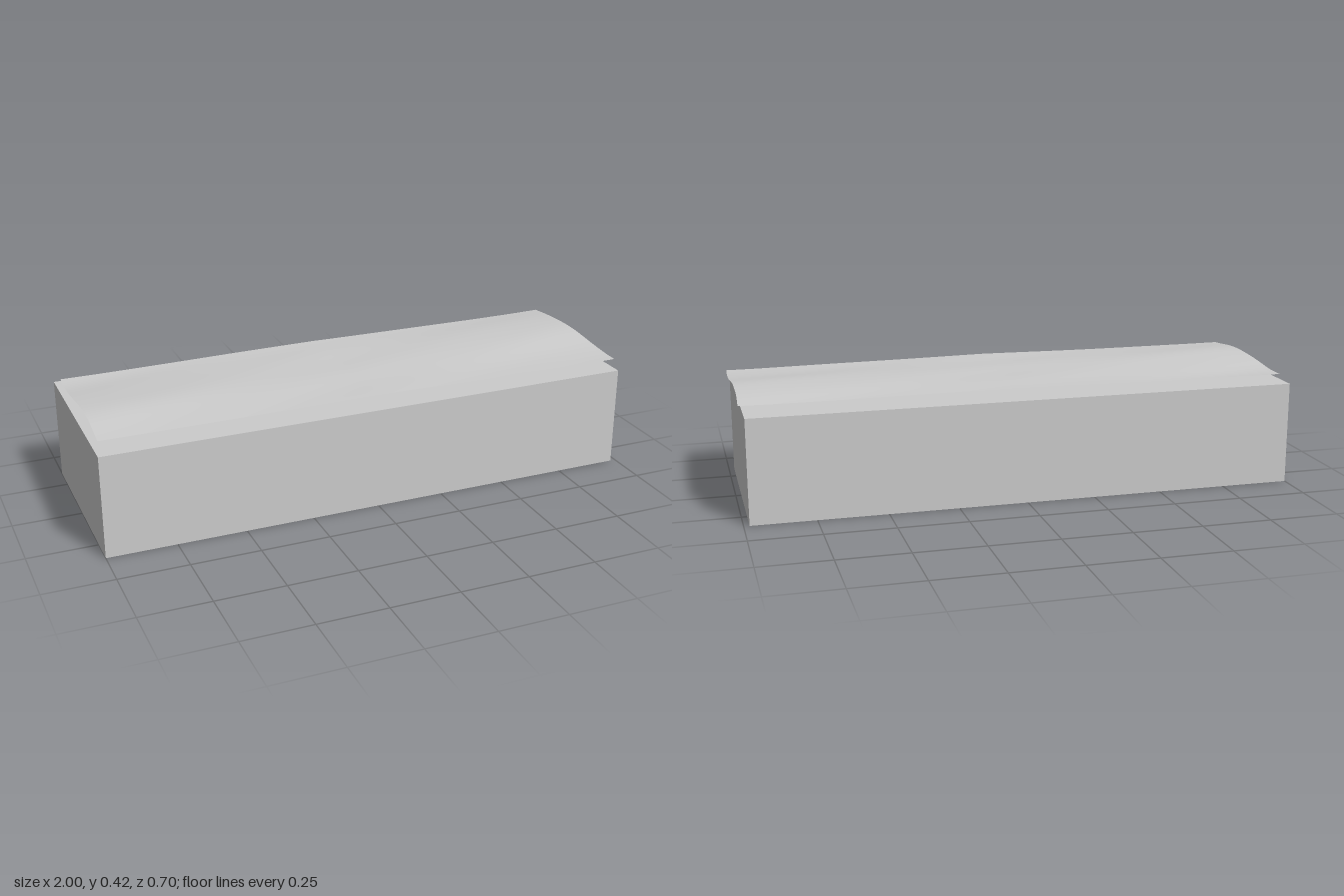
import * as THREE from 'three';

export function createModel() {
  const model = new THREE.Group();
  const material = new THREE.MeshStandardMaterial({ color: 0xcccccc });
  const sheetMaterial = new THREE.MeshStandardMaterial({ color: 0xcccccc, side: THREE.DoubleSide });

  // Solid rectangular base
  const base = new THREE.Mesh(new THREE.BoxGeometry(1.98, 0.374, 0.7), material);
  base.name = 'base';
  base.position.set(-0.01, 0.187, 0);
  model.add(base);

  // Thin rippled sheet hovering just above the base
  const geometry = new THREE.PlaneGeometry(1.98, 0.594, 80, 40).rotateX(-Math.PI / 2);
  const pos = geometry.attributes.position;
  for (let i = 0; i < pos.count; i++) {
    const x = pos.getX(i), z = pos.getZ(i);
    // The crest runs diagonally and the swell fades towards the middle
    const swell = 0.002 + 0.01 * Math.min(1, Math.abs(x) * 1.15);
    const crest = Math.cos((z + 0.08 * x) * Math.PI / 0.33);
    const ripple = 0.0007 * Math.sin(28 * z + 5 * x) * Math.cos(4 * x);
    pos.setY(i, 0.4115 + swell * crest + ripple);
    // Slightly wavering edges
    pos.setX(i, x + 0.005 + 0.003 * Math.sin(12 * z));
    pos.setZ(i, z + 0.003 * Math.sin(2.4 * x));
  }
  geometry.computeVertexNormals();
  const sheet = new THREE.Mesh(geometry, sheetMaterial);
  sheet.name = 'rippledSheet';
  model.add(sheet);

  return model;
}
